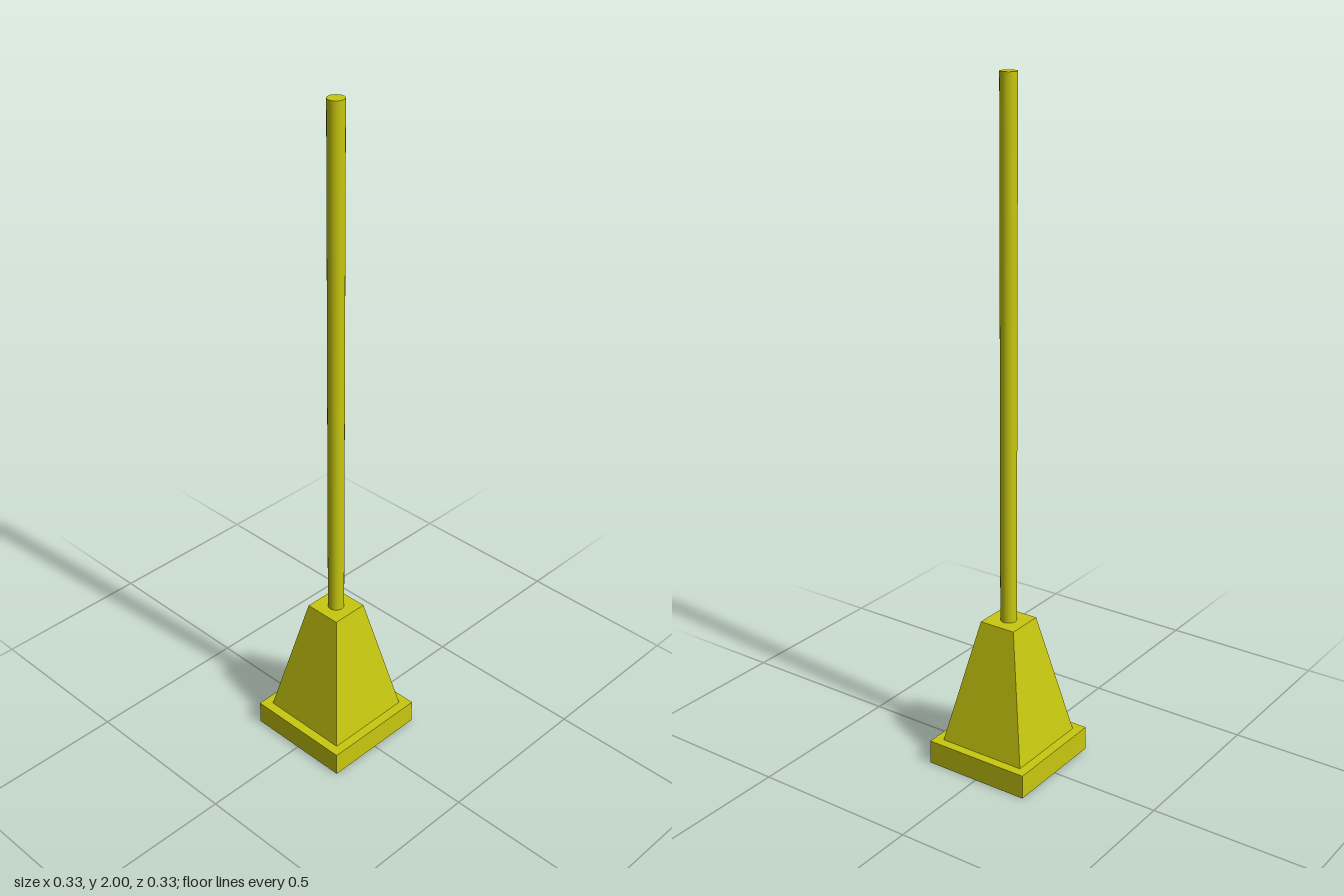
import * as THREE from 'three';

const yellow = { color: 0xc8c810 };
const flat = new THREE.MeshStandardMaterial({ ...yellow, flatShading: true });
const smooth = new THREE.MeshStandardMaterial(yellow);

function addPart(group, name, geometry, material, bottom, height) {
  const mesh = new THREE.Mesh(geometry, material);
  mesh.name = name;
  mesh.position.y = bottom + height / 2;
  group.add(mesh);
}

// Square tapered block, sized by its half widths
function taperedBlock(topHalf, bottomHalf, height) {
  return new THREE.CylinderGeometry(topHalf * Math.SQRT2, bottomHalf * Math.SQRT2, height, 4)
    .rotateY(Math.PI / 4);
}

export function createModel() {
  const group = new THREE.Group();
  group.name = 'postOnPedestal';

  const plinthHeight = 0.073, pedestalTop = 0.45, top = 2;
  const pedestalHeight = pedestalTop - plinthHeight;
  const poleHeight = top - pedestalTop;

  // Square plinth
  addPart(group, 'plinth', new THREE.BoxGeometry(0.33, plinthHeight, 0.33), flat, 0, plinthHeight);
  // Tapered pedestal
  addPart(group, 'pedestal', taperedBlock(0.057, 0.137, pedestalHeight), flat, plinthHeight, pedestalHeight);
  // Round pole
  addPart(group, 'pole', new THREE.CylinderGeometry(0.024, 0.024, poleHeight, 24), smooth, pedestalTop, poleHeight);

  return group;
}
